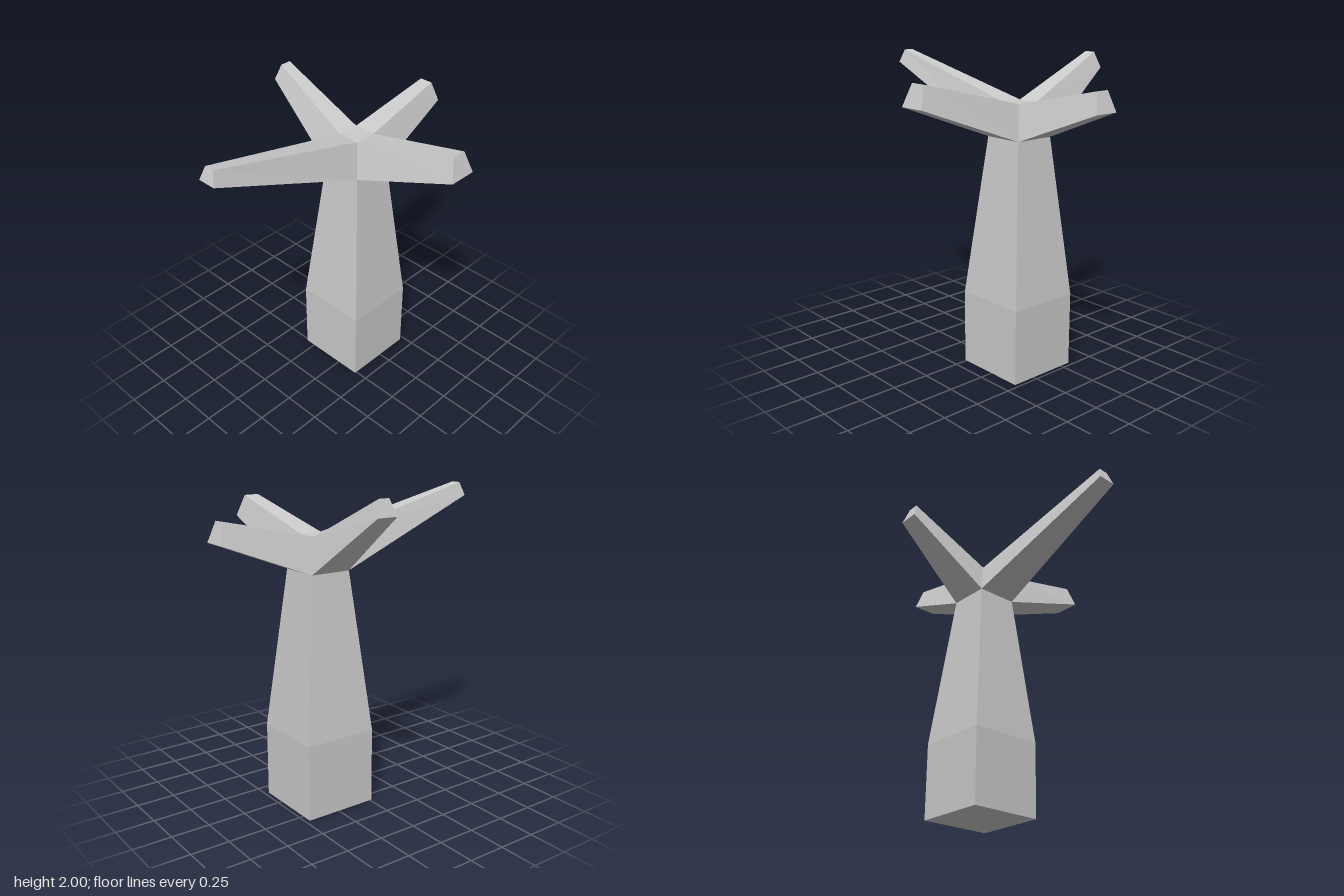
import * as THREE from 'three';

const CX = -0.08, CZ = -0.23;              // trunk axis
const NECK_Y = 1.515, NECK_R = 0.135;      // where the branches start
const TOP_Y = 1.73, TOP_R = 0.074;         // flat top of the crown

const material = new THREE.MeshStandardMaterial({ color: 0xcccccc, flatShading: true });

// Skin a list of four-cornered rings, each counter-clockwise seen from the far end.
function loft(name, rings, capStart) {
  const pos = [];
  const quad = (a, b, c, d) => [a, b, c, a, c, d].forEach((p) => pos.push(p.x, p.y, p.z));
  for (let r = 0; r < rings.length - 1; r++) {
    const a = rings[r], b = rings[r + 1];
    for (let i = 0; i < 4; i++) {
      const j = (i + 1) % 4;
      quad(a[i], a[j], b[j], b[i]);
    }
  }
  if (capStart) quad(...[...rings[0]].reverse());
  quad(...rings[rings.length - 1]);
  const geometry = new THREE.BufferGeometry();
  geometry.setAttribute('position', new THREE.Float32BufferAttribute(pos, 3));
  geometry.computeVertexNormals();
  const mesh = new THREE.Mesh(geometry, material);
  mesh.name = name;
  return mesh;
}

// Horizontal square around the trunk axis.
const square = (y, r) => [[-1, 1], [1, 1], [1, -1], [-1, -1]]
  .map(([sx, sz]) => new THREE.Vector3(CX + sx * r, y, CZ + sz * r));

// Trapezoid facing outward: each edge is [distance from axis, height, half width, side shift].
function trapezoid(dir, low, high) {
  const right = new THREE.Vector3(0, 1, 0).cross(dir);
  const corner = ([out, y, half], side) => new THREE.Vector3(CX, y, CZ)
    .addScaledVector(dir, out).addScaledVector(right, side * half);
  return [corner(low, -1), corner(low, 1), corner(high, 1), corner(high, -1)];
}

export function createModel() {
  const model = new THREE.Group();
  model.name = 'branchedPost';

  // Straight base, tapering trunk and crown
  model.add(loft('trunk', [
    square(0, 0.242), square(0.49, 0.242), square(NECK_Y, NECK_R), square(TOP_Y, TOP_R),
  ], true));

  // Four branches growing from the crown's sides, with lower and upper tip edges
  const branches = [
    { name: 'leftBranch', dir: [1, 0, 0], low: [0.815, 1.765, 0.092], high: [0.773, 1.9, 0.05] },
    { name: 'rightBranch', dir: [-1, 0, 0], low: [0.66, 1.9, 0.068], high: [0.627, 2, 0.036] },
    { name: 'frontBranch', dir: [0, 0, 1], low: [1.157, 1.895, 0.06], high: [1.13, 1.98, 0.032] },
    { name: 'backBranch', dir: [0, 0, -1], low: [0.697, 1.735, 0.081], high: [0.66, 1.86, 0.044] },
  ];
  for (const { name, dir, low, high } of branches) {
    const d = new THREE.Vector3(...dir);
    const root = trapezoid(d, [NECK_R, NECK_Y, NECK_R], [TOP_R, TOP_Y, TOP_R]);
    model.add(loft(name, [root, trapezoid(d, low, high)], false));
  }
  return model;
}
